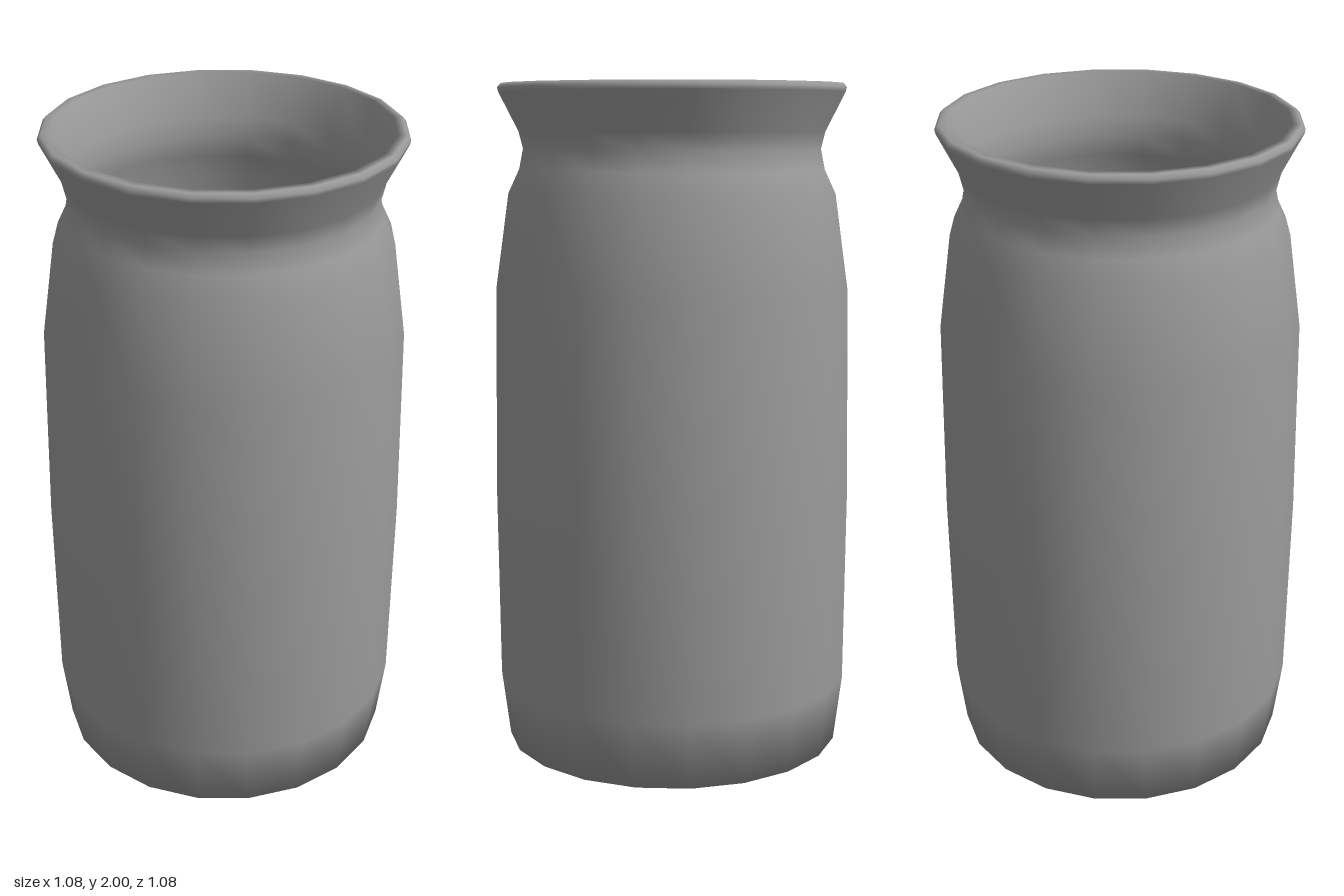
import * as THREE from 'three';
import { mergeVertices } from 'three/addons/utils/BufferGeometryUtils.js';

const SIDES = 20;

// Turns a profile of [radius, height] points around the vertical axis, smooth all over
function turn(points) {
  const profile = points.map(([r, y]) => new THREE.Vector2(r, y));
  const lathe = new THREE.LatheGeometry(profile, SIDES);
  lathe.deleteAttribute('uv');
  lathe.deleteAttribute('normal');
  const geometry = mergeVertices(lathe, 1e-4);
  geometry.computeVertexNormals();
  return geometry;
}

export function createModel() {
  const group = new THREE.Group();
  group.name = 'jar';

  // Outside: base, gently bulging body, narrow neck and flared lip
  const outside = [
    [0, 0], [0.51, 0], [0.535, 0.2], [0.54, 0.8], [0.53, 1.4], [0.49, 1.68],
    [0.457, 1.75], [0.445, 1.81], [0.457, 1.86], [0.515, 1.975],
  ];

  // Rounded top of the lip
  const rim = [[0.518, 1.988], [0.508, 2], [0.482, 2]];

  // Inside: lip, neck, cavity and floor
  const inside = [
    [0.445, 1.87], [0.437, 1.81], [0.445, 1.75], [0.475, 1.67],
    [0.513, 1.39], [0.522, 0.8], [0.517, 0.21], [0.49, 0.02], [0, 0.02],
  ];

  const body = new THREE.Mesh(
    turn([...outside, ...rim, ...inside]),
    new THREE.MeshStandardMaterial({ color: 0x9b9b9b }),
  );
  body.name = 'jarBody';
  group.add(body);

  return group;
}
